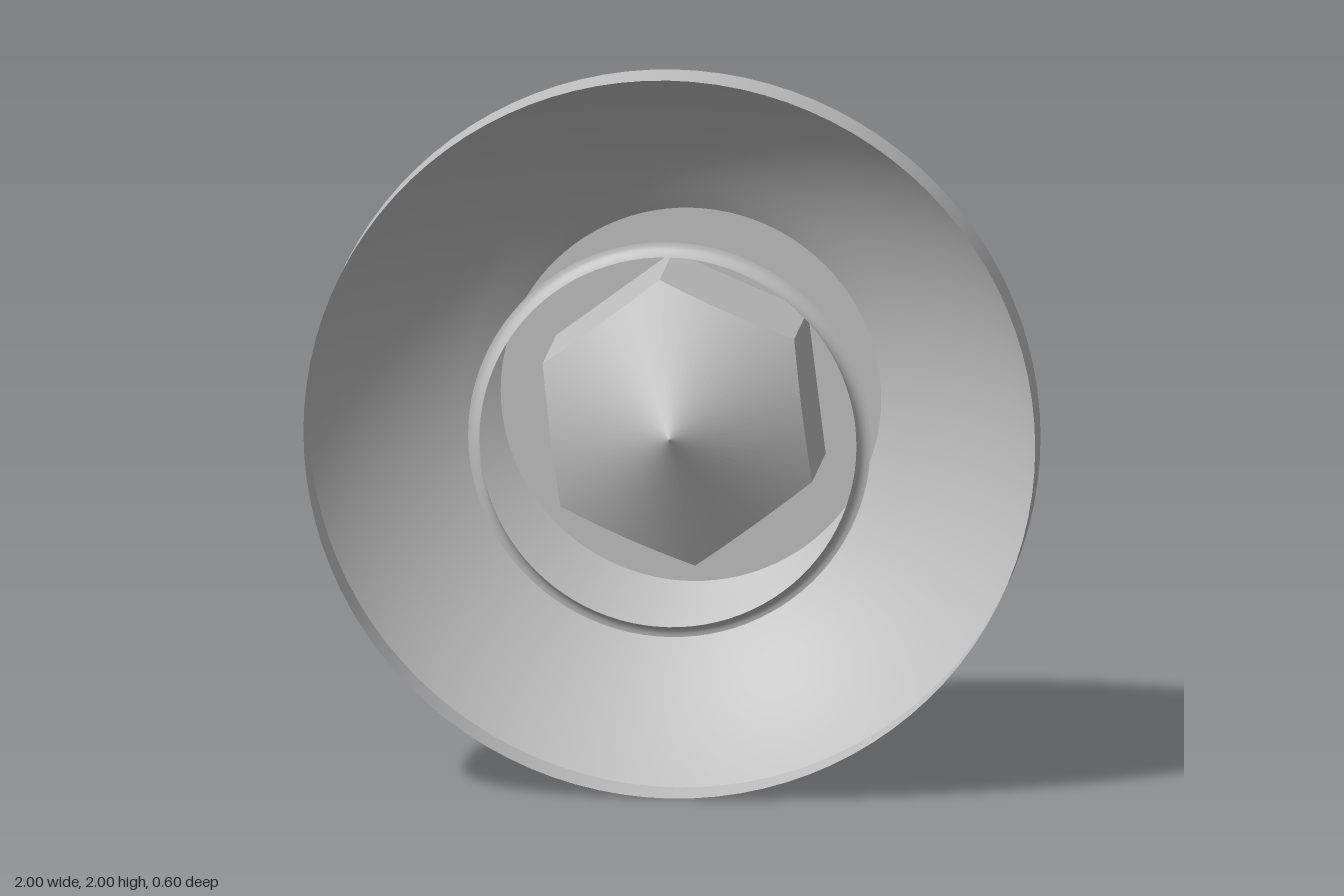
import * as THREE from 'three';

const HEX_R = 0.4, HEX_TURN = THREE.MathUtils.degToRad(37); // socket corner radius and first corner
const CENTRE_Y = 1, BACK_Z = -0.3, CORNER_Z = 0.055, APEX_Z = 0.265;

// Radius of the hexagon in the direction of an angle
function hexRadius(angle) {
  const sector = Math.PI / 3;
  const a = (((angle - HEX_TURN) % sector) + sector) % sector;
  return HEX_R * Math.cos(sector / 2) / Math.cos(a - sector / 2);
}

// Lathe about the z axis from [radius, z] pairs
function turned(points, segments, start = 0) {
  const profile = points.map(([r, z]) => new THREE.Vector2(r, z));
  return new THREE.LatheGeometry(profile, segments, start).rotateX(Math.PI / 2);
}

// Squeeze a round socket surface to a hexagon; zAt gives depth from radius
function toHex(geometry, zAt) {
  const p = geometry.attributes.position;
  for (let i = 0; i < p.count; i++) {
    const x = p.getX(i), y = p.getY(i);
    const k = hexRadius(Math.atan2(y, x)) / HEX_R;
    const r = Math.hypot(x, y) * k;
    p.setXYZ(i, x * k, y * k, zAt(r, p.getZ(i)));
  }
  return geometry;
}

export function createModel() {
  const group = new THREE.Group();
  group.name = 'buttonHeadScrewCap';
  const steel = new THREE.MeshStandardMaterial({ color: 0xc0c0c0, side: THREE.DoubleSide });
  steel.name = 'steel grey';

  const add = (name, geometry) => {
    const mesh = new THREE.Mesh(geometry, steel);
    mesh.name = name;
    mesh.position.y = CENTRE_Y;
    group.add(mesh);
  };

  // Domed shell: an arc from the flat back out to the rim
  const dome = [];
  const domeZ = 0.785, domeR = 1.2;
  const a0 = Math.asin(0.52 / domeR), a1 = Math.asin(1 / domeR);
  for (let i = 0; i <= 12; i++) {
    const a = a0 + (a1 - a0) * i / 12;
    dome.push([domeR * Math.sin(a), domeZ - domeR * Math.cos(a)]);
  }
  dome[0] = [0.52, BACK_Z];
  dome[12] = [1, 0.125];
  add('dome', turned(dome, 96));

  // Straight rim, open at the front
  add('rim', turned([[1, 0.125], [1, 0.265]], 96));

  // Thin concave fillet ring at the front
  const fillet = [];
  for (let i = 0; i <= 6; i++) {
    const a = i / 6 * Math.PI / 2;
    fillet.push([0.55 - 0.035 * Math.sin(a), 0.3 - 0.035 * Math.cos(a)]);
  }
  add('filletRing', turned(fillet, 96));

  // Flat back with the hexagonal opening
  const face = new THREE.Shape().absarc(0, 0, 0.52, 0, Math.PI * 2, false);
  const corners = [];
  for (let i = 0; i < 6; i++) {
    const a = HEX_TURN - i * Math.PI / 3;
    corners.push(new THREE.Vector2(HEX_R * Math.cos(a), HEX_R * Math.sin(a)));
  }
  face.holes.push(new THREE.Path(corners));
  add('backFace', new THREE.ShapeGeometry(face, 48).rotateY(Math.PI).scale(-1, 1, 1).translate(0, 0, BACK_Z));

  // Socket walls and cone bottom, meeting in scalloped edges
  const start = HEX_TURN + Math.PI / 2;
  const coneZ = r => APEX_Z - (APEX_Z - CORNER_Z) * r / HEX_R;
  const walls = toHex(turned([[HEX_R, BACK_Z], [HEX_R, CORNER_Z]], 72, start),
    (r, z) => (z < -0.2 ? BACK_Z : coneZ(r))).toNonIndexed();
  walls.computeVertexNormals();
  add('socketWalls', walls);
  add('socketCone', toHex(turned([[HEX_R, CORNER_Z], [0, APEX_Z]], 72, start), coneZ));

  return group;
}
